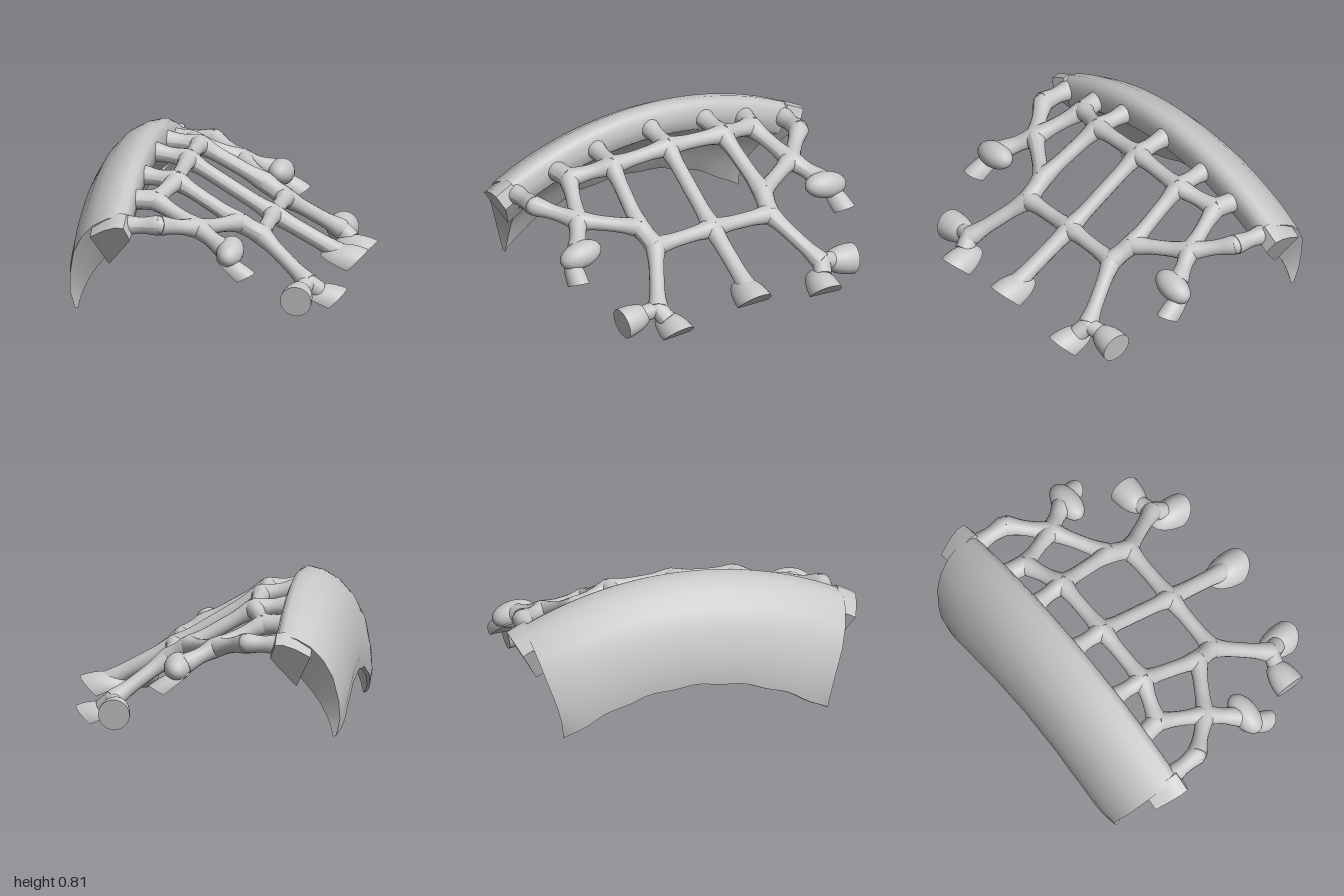
import * as THREE from 'three';
import { toCreasedNormals } from 'three/addons/utils/BufferGeometryUtils.js';

const gray = new THREE.MeshStandardMaterial({ color: 0xc8c8c8 });
gray.name = 'light gray';
const V = (x, y, z) => new THREE.Vector3(x, y, z);
const AXIS_Y = -1.2; // height of the axis the curved shell is swept around
const DEG = Math.PI / 180;

function addMesh(parent, name, geometry) {
  const mesh = new THREE.Mesh(geometry, gray);
  mesh.name = name;
  parent.add(mesh);
  return mesh;
}

// Sweeps a wall (paired outer and inner profile points) around the x axis.
// angleAt(t, u): t runs along the sweep 0..1, u down the profile 0..1.
// adjust(a, u): [x shift, radius shift] at angle a.
function sweptWall(outer, inner, steps, angleAt, adjust = () => [0, 0]) {
  const k = outer.length, ring = [...outer, ...[...inner].reverse()], n = ring.length;
  const pos = [], index = [];
  for (let j = 0; j <= steps; j++) {
    for (let i = 0; i < n; i++) {
      const u = (i < k ? i : n - 1 - i) / (k - 1);
      const a = angleAt(j / steps, u);
      const [dx, dr] = adjust(a, u);
      const r = ring[i][1] - AXIS_Y + dr;
      pos.push(ring[i][0] + dx, AXIS_Y + r * Math.cos(a), r * Math.sin(a));
    }
  }
  const quad = (a, b, c, d) => index.push(a, b, c, a, c, d);
  for (let j = 0; j < steps; j++) {
    for (let i = 0; i < n; i++) {
      const i2 = (i + 1) % n;
      quad(j * n + i, j * n + i2, (j + 1) * n + i2, (j + 1) * n + i);
    }
  }
  const e = steps * n; // end caps
  for (let i = 0; i < k - 1; i++) {
    quad(e + i, e + i + 1, e + n - 2 - i, e + n - 1 - i);
    quad(n - 1 - i, n - 2 - i, i + 1, i);
  }
  const g = new THREE.BufferGeometry();
  g.setAttribute('position', new THREE.Float32BufferAttribute(pos, 3));
  g.setIndex(index);
  return toCreasedNormals(g, 0.85);
}

// Round bar whose ends flare softly into the joints.
function strut(parent, name, a, b, r = 0.042, flare = 0.35) {
  const dir = b.clone().sub(a), len = dir.length();
  const g = new THREE.CylinderGeometry(1, 1, len, 16, 14);
  const p = g.attributes.position;
  for (let i = 0; i < p.count; i++) {
    const d = p.getY(i) + len / 2, e = len - d;
    const s = r * (1 + flare * (Math.exp(-((d / 0.07) ** 2)) + Math.exp(-((e / 0.07) ** 2))));
    p.setX(i, p.getX(i) * s);
    p.setZ(i, p.getZ(i) * s);
  }
  g.computeVertexNormals();
  const m = addMesh(parent, name, g);
  m.position.copy(a).add(b).multiplyScalar(0.5);
  m.quaternion.setFromUnitVectors(V(0, 1, 0), dir.normalize());
}

// Bullet-shaped pad with a flat end; half pads are flat underneath with a slanted end.
function pad(parent, name, end, dir, r, len, half = false) {
  const profile = [];
  for (let i = 0; i <= 12; i++) {
    const a = (i / 12) * Math.PI / 2;
    profile.push(new THREE.Vector2(r * Math.sin(a) ** 0.85, -len * Math.cos(a)));
  }
  profile.push(new THREE.Vector2(0, 0));
  const g = new THREE.LatheGeometry(profile, 28);
  if (half) {
    const p = g.attributes.position;
    for (let i = 0; i < p.count; i++) {
      const h = Math.max(p.getZ(i) * 1.2, -0.012);
      p.setZ(i, h);
      p.setY(i, p.getY(i) + 0.42 * h);
    }
  }
  const m = addMesh(parent, name, toCreasedNormals(g, 0.7));
  const y = dir.clone().normalize();
  const x = y.clone().cross(V(0, 1, 0)).normalize();
  const z = x.clone().cross(y);
  m.quaternion.setFromRotationMatrix(new THREE.Matrix4().makeBasis(x, y, z));
  m.position.copy(end);
}

function joint(parent, p) {
  addMesh(parent, 'joint', new THREE.SphereGeometry(0.052, 18, 12)).position.copy(p);
}

export function createModel() {
  const model = new THREE.Group();
  model.name = 'latticeFrame';

  // Curved shell with a rounded rim, drawn-in lower corners and an uneven lower edge
  const outer = [[-0.405, 0.725], [-0.408, 0.765], [-0.425, 0.803], [-0.46, 0.82], [-0.53, 0.803],
    [-0.61, 0.757], [-0.68, 0.68], [-0.735, 0.575], [-0.768, 0.43], [-0.78, 0.32], [-0.773, 0.235]];
  const inner = [[-0.408, 0.655], [-0.425, 0.64], [-0.445, 0.627], [-0.475, 0.605], [-0.52, 0.565],
    [-0.56, 0.52], [-0.605, 0.465], [-0.65, 0.405], [-0.69, 0.34], [-0.725, 0.28], [-0.755, 0.228]];
  addMesh(model, 'shell', sweptWall(outer, inner, 64,
    (t, u) => (2 * t - 1) * (26.8 + 5.2 * u ** 3) * DEG,
    (a, u) => [
      0.04 * u * (a / 0.555) ** 8,
      u ** 5 * (0.03 * Math.cos(3 * a) + 0.005 * Math.cos(34 * a)),
    ]));

  // Lattice joints on the centre line
  const rim0 = V(-0.43, 0.715, 0), bar0 = V(-0.23, 0.68, 0), cross0 = V(0.25, 0.388, 0);
  strut(model, 'centreStrut', rim0, bar0);
  strut(model, 'centreStrut', bar0, cross0);
  strut(model, 'centreStrut', cross0, V(0.63, 0.18, 0), 0.046, 0.2);
  pad(model, 'centrePad', V(0.69, 0.115, 0), V(0.92, -0.39, 0), 0.1, 0.18, true);
  joint(model, bar0);
  joint(model, cross0);

  for (const s of [1, -1]) {
    const side = new THREE.Group();
    side.name = s > 0 ? 'frontSide' : 'backSide';
    model.add(side);
    const P = (x, y, z) => V(x, y, z * s);

    // Thick block at the end of the shell
    addMesh(side, 'endBlock', sweptWall(
      [[-0.415, 0.82], [-0.46, 0.825], [-0.53, 0.795], [-0.61, 0.74]],
      [[-0.385, 0.73], [-0.42, 0.675], [-0.47, 0.605], [-0.52, 0.535]], 4,
      t => (s > 0 ? 26.3 + 3.3 * t : -29.6 + 3.3 * t) * DEG));

    // Joints
    const rim1 = P(-0.43, 0.68, 0.35), rim2 = P(-0.43, 0.615, 0.61), rim3 = P(-0.43, 0.54, 0.87);
    const bar1 = P(-0.23, 0.66, 0.36), bar2 = P(-0.31, 0.61, 0.59), bar3 = P(-0.24, 0.545, 0.86);
    const hub = P(-0.05, 0.49, 0.69), join = P(0.13, 0.45, 0.4), cross1 = P(0.25, 0.375, 0.37);
    const fork = P(0.54, 0.16, 0.53), knee = P(0.11, 0.41, 0.79);

    const bars = [
      ['lengthStrut', rim1, bar1], ['lengthStrut', bar1, join], ['lengthStrut', join, cross1],
      ['upperCrossbar', bar0, bar1], ['upperCrossbar', bar1, bar2],
      ['lowerCrossbar', cross0, cross1], ['rimStrut', rim2, bar2], ['sideStrut', bar2, hub],
      ['outerStrut', rim3, bar3], ['outerStrut', bar3, hub], ['diagonalStrut', hub, join],
      ['kneeStrut', hub, knee], ['forkStrut', cross1, fork],
    ];
    for (const [name, a, b] of bars) strut(side, name, a, b);
    for (const p of [bar1, bar2, bar3, hub, join, cross1, fork, knee]) joint(side, p);

    // Forked end with a forward half pad and an outward round pad
    strut(side, 'forkEnd', fork, P(0.6, 0.11, 0.505), 0.045, 0.1);
    pad(side, 'forwardPad', P(0.665, 0.035, 0.48), P(0.91, -0.4, -0.08), 0.092, 0.17, true);
    strut(side, 'forkEnd', fork, P(0.515, 0.14, 0.62), 0.042, 0.1);
    pad(side, 'outwardPad', P(0.51, 0.11, 0.745), P(0, -0.16, 0.98), 0.088, 0.175);

    // Knee end with a rounded pad and a wedge pad
    const kneePad = addMesh(side, 'kneePad', new THREE.SphereGeometry(1, 24, 16));
    kneePad.scale.set(0.075, 0.075, 0.128);
    kneePad.position.copy(P(0.15, 0.395, 0.795));
    kneePad.rotation.x = 0.18 * s;
    pad(side, 'kneeWedge', P(0.235, 0.26, 0.86), P(0.78, -0.61, 0.15), 0.06, 0.19, true);
  }
  return model;
}
